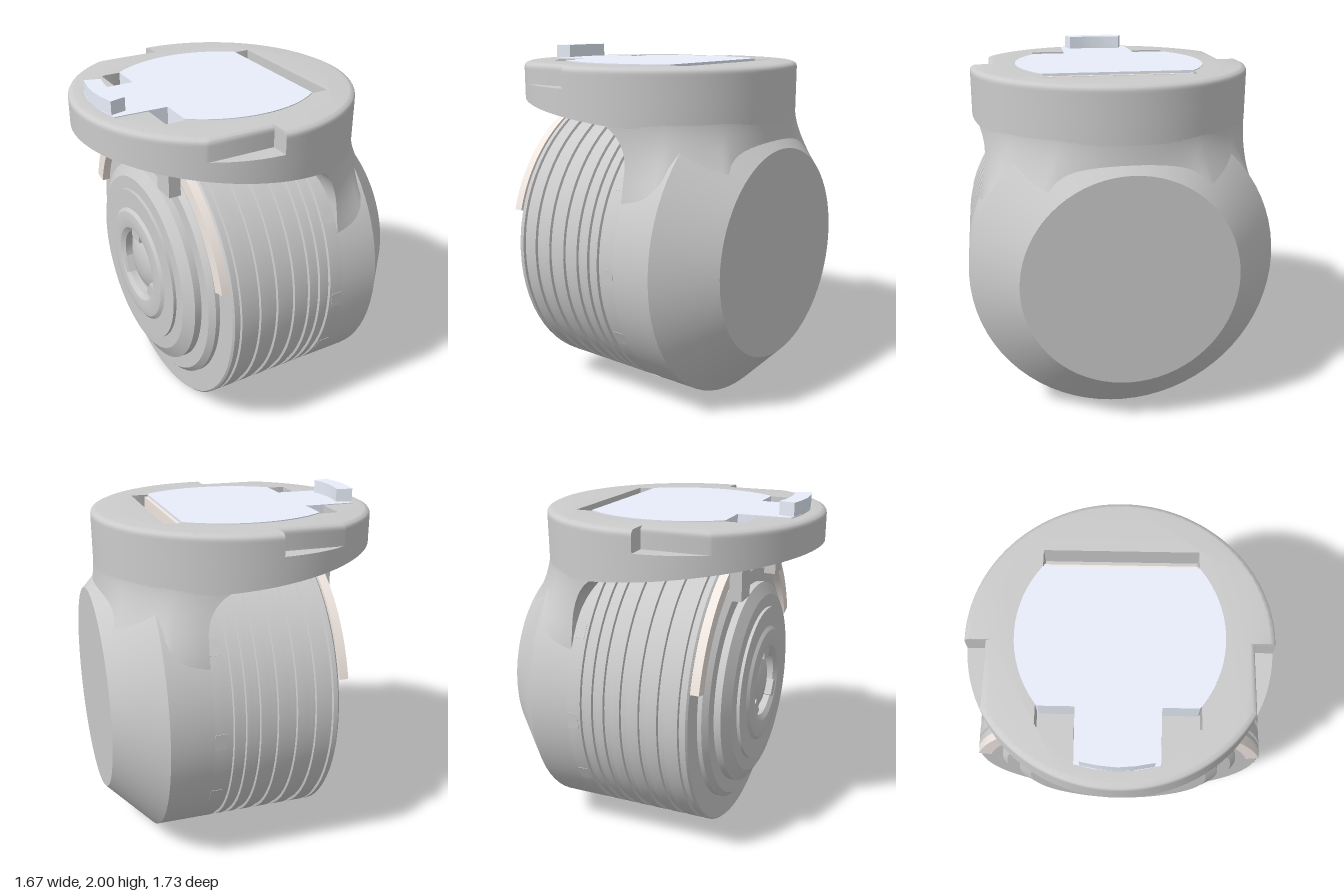
import * as THREE from 'three';
import { toCreasedNormals } from 'three/addons/utils/BufferGeometryUtils.js';

const grey = new THREE.MeshStandardMaterial({ color: 0xcccccc });
const paleBlue = new THREE.MeshStandardMaterial({ color: 0xe8eefa });
const cream = new THREE.MeshStandardMaterial({ color: 0xf2e8e2 });

const R = 0.865;          // barrel radius, also the height of its axis
const DISC_X = -0.03, DISC_R = 0.81;

export function createModel() {
  const model = new THREE.Group();
  const add = (name, geometry, material = grey, crease = 0.5) => {
    const mesh = new THREE.Mesh(toCreasedNormals(geometry, crease), material);
    mesh.name = name;
    model.add(mesh);
    return mesh;
  };
  const box = (name, w, h, d, x, y, z, material) =>
    add(name, new THREE.BoxGeometry(w, h, d).translate(x, y, z), material);

  // Turned body around the x axis: points are [radius, x]
  const turned = (name, points) => add(name,
    new THREE.LatheGeometry(points.map(p => new THREE.Vector2(...p)), 72)
      .rotateZ(-Math.PI / 2).translate(0, R, 0), grey, 0.35);

  // Horizontal slab between two heights
  const slab = (shape, y0, y1, steps = 1) =>
    new THREE.ExtrudeGeometry(shape, { depth: y1 - y0, steps, bevelEnabled: false, curveSegments: 48 })
      .rotateX(-Math.PI / 2).translate(0, y0, 0);

  // Closed outline from its +z half
  const mirrored = half => half.concat(half.map(([x, z]) => [x, -z]).reverse())
    .map(p => new THREE.Vector2(...p));

  // Ribbed barrel
  const barrel = [[0, -0.385], [0.855, -0.385], [R, -0.375]];
  for (const [a, b] of [[-0.35, -0.33], [-0.25, -0.21], [-0.14, -0.1], [-0.03, 0.01], [0.07, 0.11], [0.15, 0.18], [0.22, 0.25]]) {
    barrel.push([R, a], [R - 0.014, a + 0.004], [R - 0.014, b - 0.004], [R, b]);
  }
  barrel.push([R, 0.33]);
  turned('ribbedBarrel', barrel);

  // Chamfered housing end
  turned('housing', [[R, 0.33], [R, 0.57], [0.6, 0.83], [0, 0.83]]);

  // Stepped hub with a domed centre
  turned('steppedHub', [
    [0, -0.535], [0.08, -0.53], [0.14, -0.515], [0.18, -0.49], [0.2, -0.49], [0.2, -0.535],
    [0.23, -0.555], [0.28, -0.562], [0.33, -0.555], [0.35, -0.54], [0.465, -0.54], [0.465, -0.522],
    [0.54, -0.52], [0.61, -0.48], [0.61, -0.44], [0.69, -0.44], [0.72, -0.41], [0.72, -0.385]]);

  // Small lugs in the hub ring
  for (let i = 0; i < 3; i++) {
    const a = i * Math.PI * 2 / 3;
    const lug = box('hubLug', 0.05, 0.06, 0.1, -0.525, 0.2, 0);
    lug.geometry.rotateX(a).translate(0, R, 0);
  }

  // Flush keys around the housing seam
  for (const side of [-1, 1]) {
    for (const a of [32, -2, -28, -61]) {
      const key = box('seamKey', 0.065, 0.09, 0.03, 0.298, 0, R - 0.014);
      key.geometry.rotateX(-a * Math.PI / 180).translate(0, R, 0);
      key.scale.z = side;
    }
  }

  // Neck: blends the housing section into the round collar, open towards the barrel
  add('neck', neckGeometry(), grey, 0.6);

  // Collar with slanted underside
  const collar = new THREE.CylinderGeometry(DISC_R, DISC_R, 0.2, 96).translate(DISC_X, 1.7, 0);
  const cp = collar.attributes.position;
  for (let i = 0; i < cp.count; i++) {
    if (cp.getY(i) < 1.7) cp.setY(i, Math.max(1.61, 1.74 - 0.115 * (cp.getX(i) + 0.84)));
  }
  add('collar', collar);

  // Top ring: round outline with a flat notch on both sides, and a pocket
  const t1 = Math.acos(-0.037), t2 = Math.PI - Math.asin(0.7 / DISC_R);
  const outline = new THREE.Shape();
  outline.absarc(DISC_X, 0, DISC_R, -t1, t1);
  outline.lineTo(-0.06, 0.7);
  outline.absarc(DISC_X, 0, DISC_R, t2, Math.PI * 2 - t2);
  outline.lineTo(-0.06, -0.7);
  outline.closePath();
  const arc = [];
  for (let i = 0; i <= 16; i++) {
    const a = 0.927 + (Math.PI - 1.854) * i / 16;
    arc.push([-0.02 + 0.65 * Math.cos(a), -0.1 + 0.65 * Math.sin(a)]);
  }
  const tongueEnd = [[-0.72, 0.215], [-0.743, 0.11], [-0.75, 0.01]];
  outline.holes.push(new THREE.Path(mirrored(
    [[0.47, 0.42], ...arc, [-0.53, 0.42], [-0.53, 0.22], ...tongueEnd])));
  const ring = slab(outline, 1.8, 1.92, 12);
  const rp = ring.attributes.position;
  for (let i = 0; i < rp.count; i++) {       // round the upper outer edge
    const x = rp.getX(i) - DISC_X, z = rp.getZ(i);
    if (Math.hypot(x, z) < 0.77 && Math.abs(z) < 0.69) continue;
    const d = Math.min(1, Math.max(0, (rp.getY(i) - 1.89) / 0.03));
    const k = 1 - 0.037 * (1 - Math.sqrt(1 - d * d));
    rp.setX(i, DISC_X + x * k);
    rp.setZ(i, z * k);
  }
  add('topRing', ring, grey, 0.7);

  // Sliding plate, its raised tab and edge strip
  add('slidingPlate', slab(new THREE.Shape(mirrored(
    [...arc, [-0.42, 0.41], [-0.42, 0.22], ...tongueEnd])), 1.8, 1.925), paleBlue);
  add('plateTab', slab(new THREE.Shape(mirrored(
    [[-0.655, 0.01], [-0.65, 0.08], [-0.635, 0.16], [-0.725, 0.185], [-0.743, 0.09], [-0.75, 0.01]])), 1.92, 2), paleBlue);
  box('slotStrip', 0.02, 0.1, 0.83, 0.38, 1.86, 0, cream);

  // Curved guards on the barrel edge and brackets under the collar
  const a0 = 0.265, a1 = 1.3;
  const guard = new THREE.Shape();
  guard.absarc(0, 0, R, a0, a1, false);
  guard.absarc(0, 0, 0.79, a1, a0, true);
  guard.closePath();
  for (const side of [-1, 1]) {
    const g = new THREE.ExtrudeGeometry(guard, { depth: 0.05, bevelEnabled: false, curveSegments: 24 })
      .rotateY(-Math.PI / 2).translate(-0.39, R, 0);
    add('edgeGuard', g, cream).scale.z = side;
    box('collarBracket', 0.07, 0.24, 0.14, -0.475, 1.6, side * 0.32);
  }
  return model;
}

// Horizontal sections from the housing up to the collar
function neckGeometry() {
  const rows = 24, cols = 64, pos = [], index = [];
  const w = 0.796, c = 0.498;                 // half widths of the chamfered section
  for (let i = 0; i <= rows; i++) {
    const y = 1.19 + 0.53 * i / rows;
    const t = Math.min(0.95, Math.max(0, (y - 1.38) / 0.26));
    const x0 = 0.33 - 0.2 * (1 - Math.sqrt(1 - t * t));
    const s = THREE.MathUtils.smoothstep(y, 1.1, 1.66);
    const blend = i === 0 ? 0 : s;
    for (let j = 0; j <= cols; j++) {
      const a = -Math.PI / 2 + Math.PI * j / cols;
      const ca = Math.max(1e-6, Math.cos(a)), sa = Math.max(1e-6, Math.abs(Math.sin(a)));
      // chamfer line: (x - 0.57) * (w - c) + (z - w) * 0.26 = 0
      const cut = ((0.57 - x0) * (w - c) + w * 0.26) / (ca * (w - c) + sa * 0.26);
      const boxy = Math.min(w / sa, (0.83 - x0) / ca, cut);
      const o = x0 - DISC_X;
      const round = -o * ca + Math.sqrt(o * o * ca * ca - o * o + 0.808 ** 2);
      const r = boxy + (round - boxy) * blend;
      pos.push(x0 + r * ca, y, r * Math.sin(a));
    }
  }
  const n = cols + 1;
  for (let i = 0; i < rows; i++) {
    for (let j = 0; j < n; j++) {
      const a = i * n + j, b = i * n + (j + 1) % n;
      index.push(a, a + n, b, b, a + n, b + n);
    }
  }
  const g = new THREE.BufferGeometry();
  g.setAttribute('position', new THREE.Float32BufferAttribute(pos, 3));
  g.setIndex(index);
  return g;
}
